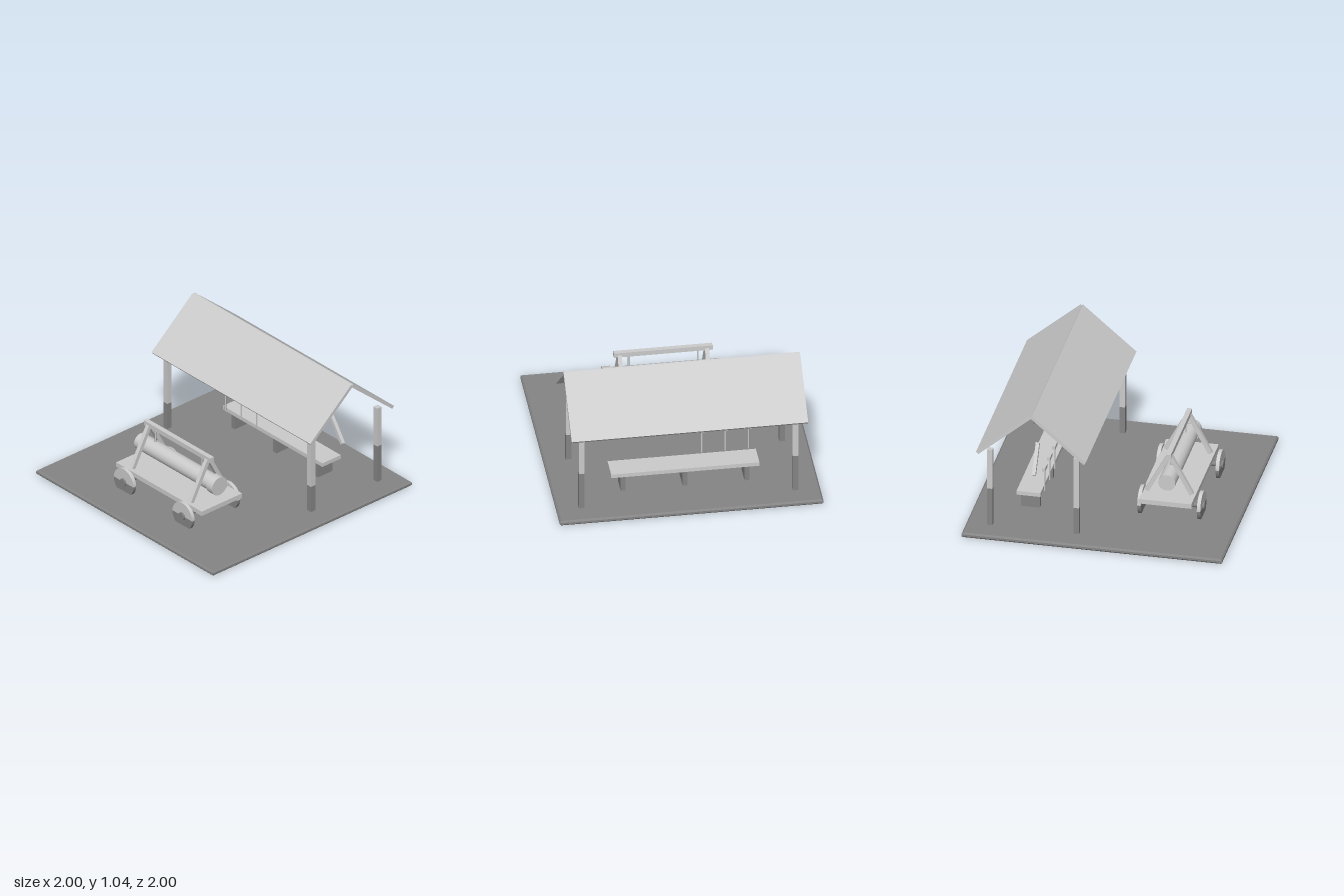
import * as THREE from 'three';

export function createModel() {
  const model = new THREE.Group();
  const pale = new THREE.MeshStandardMaterial({ color: 0xcccccc });
  pale.name = 'pale timber';
  const dark = new THREE.MeshStandardMaterial({ color: 0x858585 });
  dark.name = 'earth grey';

  function add(name, geometry, material, x = 0, y = 0, z = 0, parent = model) {
    const mesh = new THREE.Mesh(geometry, material);
    mesh.name = name;
    mesh.position.set(x, y, z);
    parent.add(mesh);
    return mesh;
  }
  const box = (name, material, w, h, d, x, y, z, parent) =>
    add(name, new THREE.BoxGeometry(w, h, d), material, x, y, z, parent);

  // Square beam between two points
  function beam(name, material, thickness, from, to, parent) {
    const a = new THREE.Vector3(...from), b = new THREE.Vector3(...to);
    const length = a.distanceTo(b);
    const mesh = box(name, material, thickness, length, thickness, 0, 0, 0, parent);
    mesh.position.copy(a).add(b).multiplyScalar(0.5);
    mesh.quaternion.setFromUnitVectors(new THREE.Vector3(0, 1, 0), b.sub(a).normalize());
    return mesh;
  }

  // Round bar along x, y or z
  function rod(name, material, axis, radius, length, x, y, z, parent, sides = 16) {
    const g = new THREE.CylinderGeometry(radius, radius, length, sides);
    if (axis === 'x') g.rotateZ(Math.PI / 2);
    if (axis === 'z') g.rotateX(Math.PI / 2);
    return add(name, g, material, x, y, z, parent);
  }

  // Ground slab with chamfered edges
  const bevel = 0.012, half = 1 - bevel;
  const square = new THREE.Shape([[-half, -half], [half, -half], [half, half], [-half, half]]
    .map(([x, y]) => new THREE.Vector2(x, y)));
  const slab = new THREE.ExtrudeGeometry(square, {
    depth: 0.04 - 2 * bevel, bevelThickness: bevel, bevelSize: bevel, bevelSegments: 1,
  });
  slab.rotateX(-Math.PI / 2).translate(0, bevel, 0);
  add('ground', slab, dark);

  // Shelter: gabled roof, two-tone posts and end braces
  const shelter = new THREE.Group();
  shelter.name = 'shelter';
  model.add(shelter);
  const ridgeZ = -0.489;
  for (const side of [-1, 1]) {
    const roof = box('roofSlope', pale, 1.794, 0.026, 0.543, 0, 0.857, ridgeZ + side * 0.206, shelter);
    roof.rotation.x = side * 0.709;
    for (const [z, split] of [[-0.155, 0.26], [-0.82, 0.35]]) {
      const x = side * 0.811;
      box('postFoot', dark, 0.043, split - 0.03, 0.043, x, (split + 0.03) / 2, z, shelter);
      box('post', pale, 0.043, 0.68 - split, 0.043, x, (0.68 + split) / 2, z, shelter);
    }
    beam('brace', pale, 0.028, [side * 0.79, 0.48, ridgeZ], [side * 0.65, 0.685, ridgeZ], shelter);
  }

  // Workbench
  const bench = new THREE.Group();
  bench.name = 'workbench';
  model.add(bench);
  box('benchTop', pale, 1.125, 0.032, 0.184, 0, 0.189, -0.58, bench);
  for (const x of [-0.47, 0, 0.47]) {
    box('benchLeg', dark, 0.036, 0.13, 0.145, x, 0.097, -0.582, bench);
    box('benchLegTop', pale, 0.036, 0.014, 0.145, x, 0.168, -0.582, bench);
  }

  // Mallets standing along the bench edge
  for (const x of [-0.51, -0.333, -0.155]) {
    rod('malletHandle', pale, 'y', 0.006, 0.2, x, 0.3, -0.468, bench, 8);
    box('malletHead', pale, 0.088, 0.03, 0.024, x, 0.401, -0.466, bench);
  }

  // Cart with a hanging ram
  const cart = new THREE.Group();
  cart.name = 'cart';
  model.add(cart);
  const midZ = 0.453;
  box('deck', pale, 0.967, 0.038, 0.405, 0, 0.181, 0.451, cart);
  for (const x of [-0.331, 0.331]) {
    // Axle and wheels, the lower half of each wheel darker
    rod('axle', dark, 'z', 0.02, 0.49, x, 0.118, 0.47, cart, 12);
    for (const z of [0.242, 0.699]) {
      [dark, pale].forEach((material, i) => {
        const g = new THREE.CylinderGeometry(0.111, 0.111, 0.027, 14, 1, false,
          -Math.PI / 2 + i * Math.PI, Math.PI);
        g.rotateX(Math.PI / 2);
        add(i ? 'wheelTop' : 'wheelBottom', g, material, x, 0.119, z, cart);
      });
    }
    rod('hub', dark, 'z', 0.032, 0.026, x, 0.118, 0.713, cart, 12);
    // A-frame
    for (const side of [-1, 1]) {
      beam('frameLeg', pale, 0.032,
        [x, 0.205, midZ + side * 0.172], [x, 0.515, midZ + side * 0.006], cart);
    }
  }
  box('topBeam', pale, 0.75, 0.038, 0.038, 0, 0.524, midZ, cart);
  for (const x of [-0.264, 0.262]) {
    rod('rope', pale, 'y', 0.006, 0.13, x, 0.45, midZ, cart, 8);
  }
  rod('ramLog', pale, 'x', 0.066, 0.84, -0.012, 0.333, midZ, cart, 20);
  rod('ramHead', pale, 'x', 0.076, 0.066, 0.428, 0.333, midZ, cart, 20);

  return model;
}
